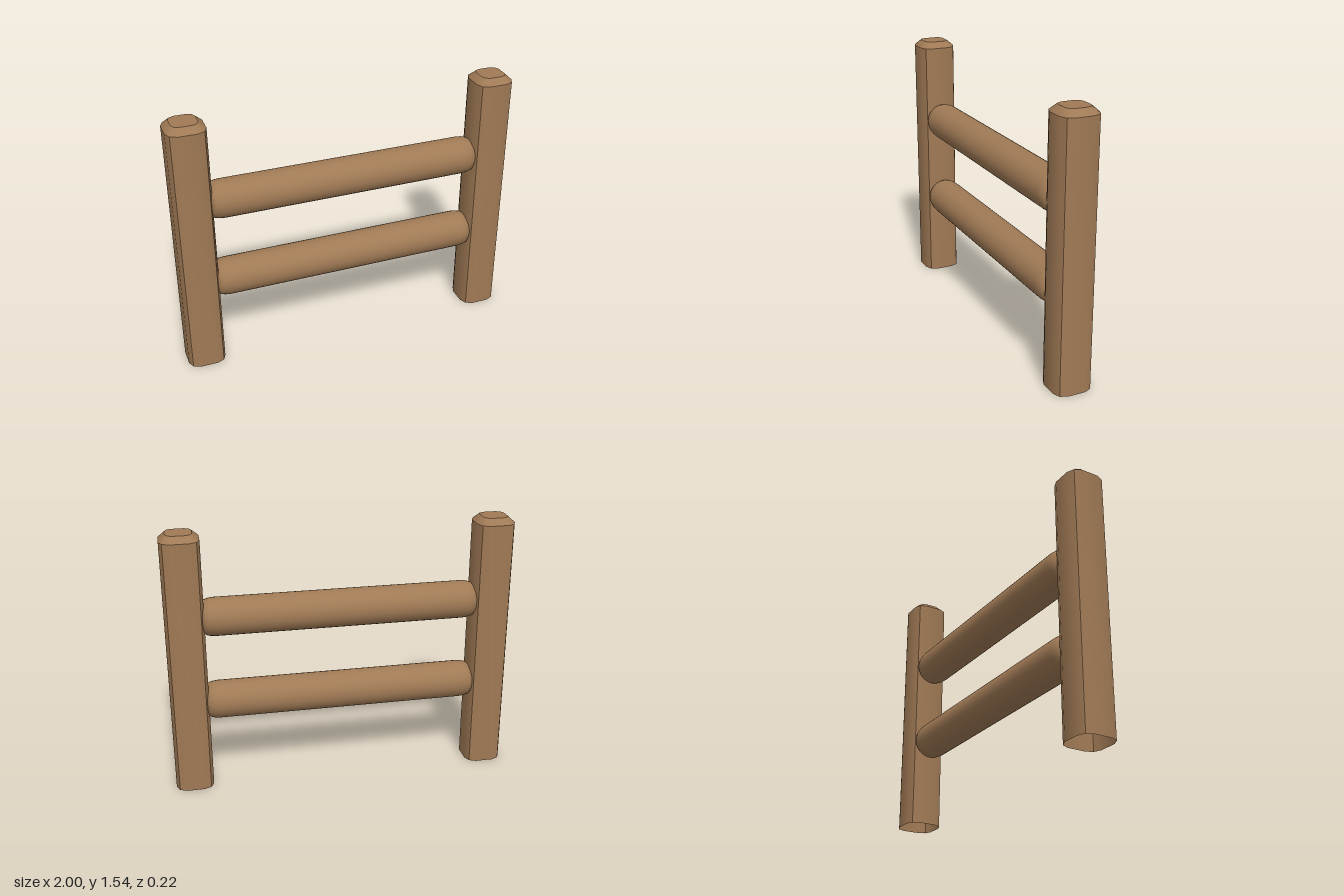
import * as THREE from 'three';
import { toCreasedNormals } from 'three/addons/utils/BufferGeometryUtils.js';

const wood = new THREE.MeshStandardMaterial({ color: 0xa07a55 });
const openWood = new THREE.MeshStandardMaterial({ color: 0xa07a55, side: THREE.DoubleSide });

// Square outline with bulging sides, turned a quarter at a time
function postOutline() {
  const side = [[0.11, -0.052], [0.11, 0.052], [0.092, 0.092]];
  const points = [];
  for (let k = 0; k < 4; k++) {
    for (const [x, z] of side) {
      const c = Math.round(Math.cos(k * Math.PI / 2));
      const s = Math.round(Math.sin(k * Math.PI / 2));
      points.push([x * c - z * s, x * s + z * c]);
    }
  }
  return points;
}

// Post: straight shaft, bevelled top, open underneath
function postGeometry() {
  const outline = postOutline();
  const n = outline.length;
  const rings = [[0, 1], [1.505, 1], [1.54, 0.66]]; // height, scale
  const positions = [];
  const index = [];
  for (const [y, s] of rings) {
    for (const [x, z] of outline) positions.push(x * s, y, z * s);
  }
  for (let r = 0; r < rings.length - 1; r++) {
    for (let i = 0; i < n; i++) {
      const a = r * n + i;
      const b = r * n + (i + 1) % n;
      index.push(a, a + n, b + n, a, b + n, b);
    }
  }
  const centre = rings.length * n;
  positions.push(0, 1.54, 0);
  for (let i = 0; i < n; i++) {
    index.push(centre, centre - n + (i + 1) % n, centre - n + i);
  }
  const geometry = new THREE.BufferGeometry();
  geometry.setAttribute('position', new THREE.Float32BufferAttribute(positions, 3));
  geometry.setIndex(index);
  return toCreasedNormals(geometry, 0.55);
}

// Rail: round log with softened ends, lying along x
function railGeometry() {
  const end = [[0.11, 0.72], [0.107, 0.75], [0.1, 0.775], [0.084, 0.79], [0.06, 0.795], [0, 0.795]];
  const upper = end.map(([r, y]) => new THREE.Vector2(r, y));
  const lower = end.map(([r, y]) => new THREE.Vector2(r, -y)).reverse();
  return new THREE.LatheGeometry([...lower, ...upper], 32).rotateZ(Math.PI / 2);
}

export function createModel() {
  const group = new THREE.Group();
  group.name = 'railFence';

  // Posts at both ends
  const postShape = postGeometry();
  for (const [name, x] of [['leftPost', 0.89], ['rightPost', -0.89]]) {
    const post = new THREE.Mesh(postShape, openWood);
    post.name = name;
    post.position.x = x;
    group.add(post);
  }

  // Two rails between the posts
  const railShape = railGeometry();
  for (const [name, y] of [['lowerRail', 0.53], ['upperRail', 1.043]]) {
    const rail = new THREE.Mesh(railShape, wood);
    rail.name = name;
    rail.position.y = y;
    group.add(rail);
  }
  return group;
}
